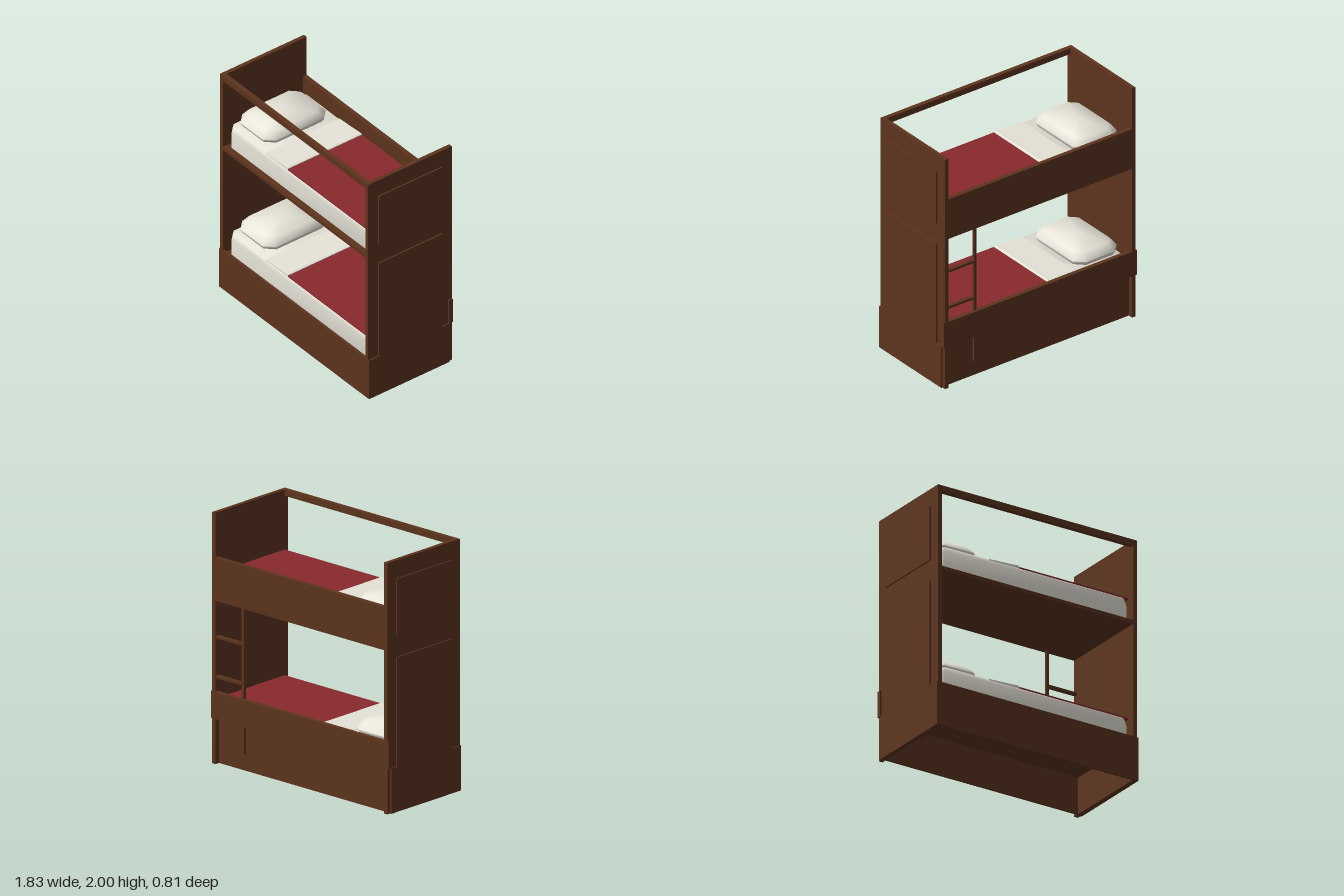
import * as THREE from 'three';
import { toCreasedNormals } from 'three/addons/utils/BufferGeometryUtils.js';

const mat = (name, color) => Object.assign(new THREE.MeshStandardMaterial({ color }), { name });

// Closed body lofted through octagonal rings [y, halfX, halfZ, chamfer] up to a centre point
function loft(rings, topY, crease) {
  const pos = [], idx = [], n = 8;
  for (const [y, a, b, c] of rings) {
    const ring = [[a, b - c], [a - c, b], [c - a, b], [-a, b - c], [-a, c - b], [c - a, -b], [a - c, -b], [a, c - b]];
    for (const [x, z] of ring) pos.push(x, y, z);
  }
  for (let r = 0; r < rings.length - 1; r++) {
    for (let i = 0; i < n; i++) {
      const a = r * n + i, b = r * n + (i + 1) % n;
      idx.push(a, a + n, b, b, a + n, b + n);
    }
  }
  // Centre points close the bottom and the top
  const bottom = pos.length / 3, top = bottom + 1, last = (rings.length - 1) * n;
  pos.push(0, rings[0][0], 0, 0, topY, 0);
  for (let i = 0; i < n; i++) {
    const j = (i + 1) % n;
    idx.push(bottom, i, j, top, last + j, last + i);
  }
  const g = new THREE.BufferGeometry();
  g.setAttribute('position', new THREE.Float32BufferAttribute(pos, 3));
  g.setIndex(idx);
  return toCreasedNormals(g, crease);
}

export function createModel() {
  const wood = mat('brown wood', 0x5e341e);
  const linen = mat('cream linen', 0xe7e4d8);
  const red = mat('red blanket', 0x89292d);
  const model = new THREE.Group();
  model.name = 'bunkBed';

  // Box given by its limits on each axis
  const box = (name, x0, x1, y0, y1, z0, z1, material = wood, parent = model) => {
    const m = new THREE.Mesh(new THREE.BoxGeometry(x1 - x0, y1 - y0, z1 - z0), material);
    m.position.set((x0 + x1) / 2, (y0 + y1) / 2, (z0 + z1) / 2);
    m.name = name;
    parent.add(m);
  };
  const add = (name, geometry, material, parent) => {
    const m = new THREE.Mesh(geometry, material);
    m.name = name;
    parent.add(m);
    return m;
  };

  // End walls with raised panels, mirrored
  for (const s of [-1, 1]) {
    const side = (name, a, b, ...r) => box(name, Math.min(s * a, s * b), Math.max(s * a, s * b), ...r);
    side('endWall', 0.872, 0.905, 0, 2, -0.402, 0.402);
    side('upperEndPanel', 0.905, 0.917, 1.405, 1.855, -0.305, 0.305);
    side('lowerEndPanel', 0.905, 0.917, 0.36, 1.23, -0.305, 0.305);
    side('baseEndPanel', 0.905, 0.917, 0, 0.36, -0.37, 0.385);
  }

  // Hollow base, back boards and top rail
  box('baseFront', -0.917, 0.917, 0, 0.36, 0.385, 0.403);
  box('baseBack', -0.872, 0.872, 0, 0.36, -0.362, -0.348);
  box('lowerBackBoard', -0.917, 0.917, 0.36, 0.575, -0.403, -0.367);
  box('upperBackBoard', -0.872, 0.872, 1.3, 1.645, -0.402, -0.367);
  box('topRail', -0.872, 0.872, 1.95, 2, 0.365, 0.402);
  box('lowerShelf', -0.872, 0.872, 0.305, 0.335, -0.348, 0.385);
  box('upperShelf', -0.872, 0.872, 1.3, 1.33, -0.367, 0.402);

  // Ladder behind the foot end
  box('ladderRail', 0.593, 0.615, 0.13, 1.3, -0.385, -0.362);
  for (const y of [0.693, 1.01]) box('ladderRung', 0.615, 0.872, y - 0.01, y + 0.01, -0.395, -0.362);

  // Bedding geometries shared by both bunks
  const mattress = loft([
    [0.335, 0.868, 0.36, 0.05], [0.48, 0.868, 0.36, 0.05],
    [0.508, 0.862, 0.357, 0.05], [0.52, 0.85, 0.35, 0.045],
  ], 0.52, 0.9);
  const pillow = loft([
    [0.53, 0.195, 0.287, 0.07], [0.558, 0.21, 0.303, 0.075],
    [0.566, 0.21, 0.303, 0.075], [0.622, 0.17, 0.25, 0.06],
  ], 0.648, 1);
  const foldShape = new THREE.Shape([
    [-0.41, 0.515], [-0.135, 0.515], [-0.135, 0.533], [-0.15, 0.538], [-0.2, 0.534], [-0.41, 0.523],
  ].map(([x, y]) => new THREE.Vector2(x, y)));
  const fold = new THREE.ExtrudeGeometry(foldShape, { depth: 0.71, bevelEnabled: false });
  fold.translate(0, 0, -0.355);

  for (const [name, y] of [['lowerBedding', 0], ['upperBedding', 1]]) {
    const bed = new THREE.Group();
    bed.name = name;
    bed.position.y = y;
    add('mattress', mattress, linen, bed);
    add('pillow', pillow, linen, bed).position.x = -0.648;
    add('foldedSheet', fold, linen, bed);
    box('blanket', -0.135, 0.86, 0.517, 0.528, -0.355, 0.355, red, bed);
    model.add(bed);
  }
  return model;
}
